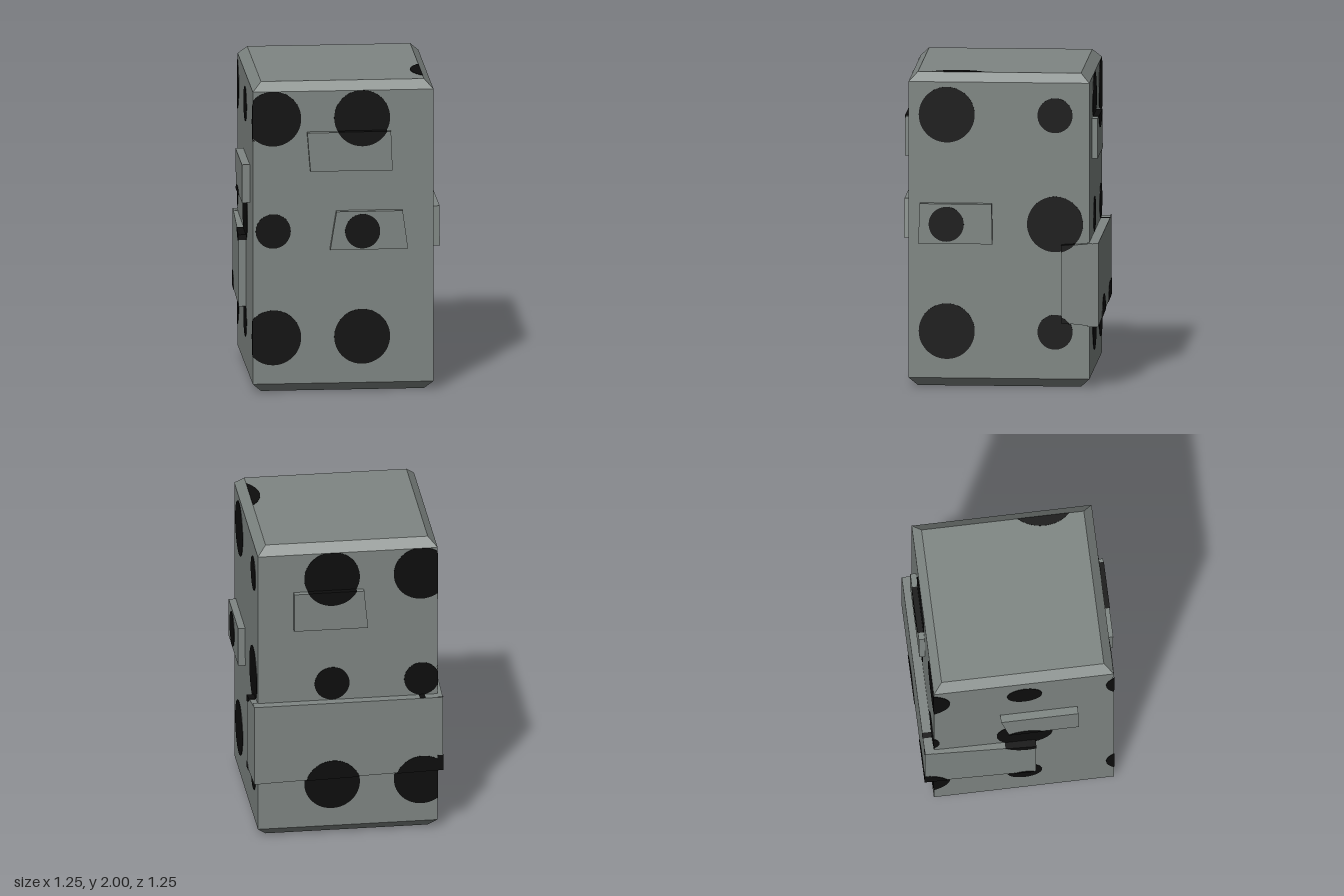
import * as THREE from 'three';
import { ConvexGeometry } from 'three/addons/geometries/ConvexGeometry.js';

const HALF = 0.572; // half width of the block
const BEVEL = 0.056;
const LIFT = 0.003; // thickness of painted spots

// Clip a polygon by a convex counter-clockwise polygon
function clip(points, border) {
  let out = points;
  border.forEach((a, i) => {
    const b = border[(i + 1) % border.length];
    const side = (p) => (b[0] - a[0]) * (p[1] - a[1]) - (b[1] - a[1]) * (p[0] - a[0]);
    const next = [];
    out.forEach((p, j) => {
      const q = out[(j + 1) % out.length];
      const sp = side(p), sq = side(q);
      if (sp >= 0) next.push(p);
      if (sp * sq < 0) {
        const t = sp / (sp - sq);
        next.push([p[0] + (q[0] - p[0]) * t, p[1] + (q[1] - p[1]) * t]);
      }
    });
    out = next;
  });
  return out;
}

function circle(h, y, r) {
  return new THREE.EllipseCurve(h, y, r, r).getPoints(48).slice(0, 48).map((p) => [p.x, p.y]);
}

// Rectangle as corners [across, up, out]
const square = (half, y0, y1, d) => [[-half, y0, d], [half, y0, d], [half, y1, d], [-half, y1, d]];

// Four-sided outline with level top and bottom edges
function trapezoid([bottomLeft, bottomRight, topRight, topLeft, y0, y1, d]) {
  return [[bottomLeft, y0, d], [bottomRight, y0, d], [topRight, y1, d], [topLeft, y1, d]];
}

// Prism between a flat base and an outer depth that may slope
function prism(points, base, depthAt) {
  return new ConvexGeometry(points.flatMap((p) =>
    [base, depthAt(p)].map((d) => new THREE.Vector3(p[0], p[1], d))));
}

export function createModel() {
  const model = new THREE.Group();
  const grey = new THREE.MeshStandardMaterial({ color: 0x7f8683 });
  grey.name = 'stone grey';
  const black = new THREE.MeshStandardMaterial({ color: 0x0d0d0d });
  black.name = 'spot black';

  const block = new THREE.Group();
  block.name = 'block';
  block.position.z = 0.009;
  model.add(block);

  const add = (parent, name, geometry, material) => {
    const mesh = new THREE.Mesh(geometry, material);
    mesh.name = name;
    parent.add(mesh);
  };

  const addGroup = (name, tilt, turn) => {
    const group = new THREE.Group();
    group.name = name;
    group.rotation.set(tilt, turn, 0);
    block.add(group);
    return group;
  };

  // Paint one round spot on a surface, running over its rim if it is raised
  const paint = (group, surface, base, rim, h, y, r) => {
    const [a, b] = surface;
    const border = surface.map((p, i) =>
      [p[0] + (i === 1 || i === 2 ? rim : -rim), p[1] + (i > 1 ? rim : -rim)]);
    const depthAt = (p) => a[2] + (b[2] - a[2]) * (p[0] - a[0]) / (b[0] - a[0]) + LIFT;
    const shape = clip(circle(h, y, r), border);
    if (shape.length > 3) add(group, 'spot', prism(shape, base, depthAt), black);
  };

  // Block with bevelled top and bottom rims
  const corners = [];
  for (const [y, inset] of [[0, BEVEL], [BEVEL, 0], [2 - BEVEL, 0], [2, BEVEL]])
    for (const [x, , z] of square(HALF - inset, inset - HALF, HALF - inset, 0).map(([h, v]) => [h, 0, v]))
      corners.push(new THREE.Vector3(x, y, z));
  add(block, 'body', new ConvexGeometry(corners), grey);

  // Band stations round the left, back and right: [x, z, bottom, top]
  const band = [
    [0.618, -0.4, 0.42, 0.912], [0.602, -0.631, 0.395, 0.928],
    [-0.598, -0.631, 0.43, 0.93], [-0.62, 0.071, 0.45, 0.91],
  ];
  const bandSide = (index, turn) => {
    const c = Math.cos(turn), s = Math.sin(turn);
    const ends = [band[index], band[index + 1]]
      .map(([x, z, y0, y1]) => ({ h: x * c - z * s, d: x * s + z * c, y0, y1 }))
      .sort((p, q) => p.h - q.h);
    const [l, r] = ends;
    return [[l.h, l.y0, l.d], [r.h, r.y0, r.d], [r.h, r.y1, r.d], [l.h, l.y1, l.d]];
  };

  // Walls: slab outlines, spot columns, and whether spot sizes alternate across
  const walls = [
    { name: 'front', turn: 0, columns: [-0.443, 0.12], alternate: 0, topRow: 1.768,
      slabs: [[-0.21, 0.31, 0.3, -0.23, 1.432, 1.682, 0.611],
        [-0.085, 0.408, 0.374, -0.045, 0.923, 1.17, 0.611]] },
    { name: 'left', turn: Math.PI / 2, columns: [-0.33, 0.355], alternate: 1, topRow: 1.735, bandIndex: 0,
      slabs: [[-0.508, -0.039, -0.044, -0.498, 0.917, 1.172, 0.617]] },
    { name: 'back', turn: Math.PI, columns: [-0.1, 0.47], alternate: 0, topRow: 1.773, bandIndex: 1,
      slabs: [[-0.345, 0.125, 0.1, -0.345, 1.43, 1.685, 0.609]] },
    { name: 'right', turn: -Math.PI / 2, columns: [-0.646, 0.005, 0.7], alternate: 1, topRow: 1.745, bandIndex: 2,
      slabs: [[-0.1, 0.346, 0.341, -0.15, 1.18, 1.425, 0.622]] },
  ];

  for (const { name, turn, columns, alternate, topRow, bandIndex, slabs } of walls) {
    const group = addGroup(name + 'Wall', 0, turn);
    const base = HALF - 0.01;
    const raised = slabs.map(trapezoid);
    if (bandIndex !== undefined) raised.push(bandSide(bandIndex, turn));

    // Raised slabs and the band
    raised.forEach((outline, i) =>
      add(group, i < slabs.length ? 'slab' : 'band', prism(outline, base, (p) => p[2]), grey));

    // Large and small spots in three rows
    const wall = square(HALF, BEVEL, 2 - BEVEL, HALF);
    [topRow, 1.042, 0.354].forEach((y, row) => columns.forEach((h, column) => {
      const r = (row + alternate * column) % 2 ? 0.111 : 0.177;
      paint(group, wall, base, 0, h, y, r);
      for (const outline of raised) paint(group, outline, base, LIFT, h, y, r);
    }));
  }

  // Top face with a spot cut off by its left edge
  const topHalf = HALF - BEVEL;
  paint(addGroup('topFace', -Math.PI / 2, 0), square(topHalf, -topHalf, topHalf, 2), 1.99, 0, 0.692, -0.26, 0.242);
  return model;
}
